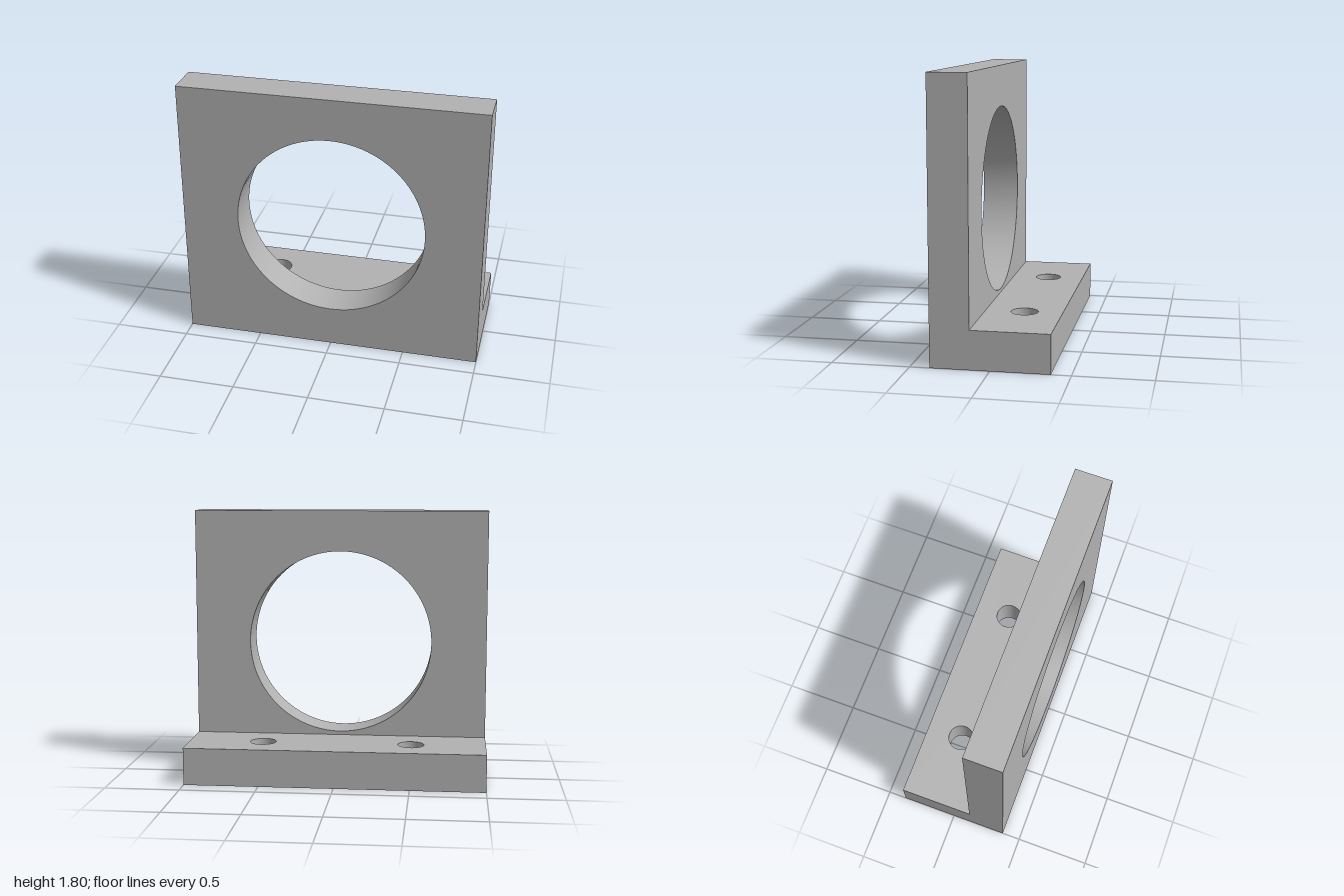
import * as THREE from 'three';
import { toCreasedNormals } from 'three/addons/utils/BufferGeometryUtils.js';

const WIDTH = 2, HEIGHT = 1.8, THICK = 0.25, HALF_DEPTH = 0.375;

// Rectangular plate with round through-holes, extruded by THICK along +z
function drilledPlate(y0, y1, holes) {
  const w = WIDTH / 2;
  const shape = new THREE.Shape([
    new THREE.Vector2(-w, y0), new THREE.Vector2(w, y0),
    new THREE.Vector2(w, y1), new THREE.Vector2(-w, y1),
  ]);
  for (const [x, y, r] of holes) {
    shape.holes.push(new THREE.Path().absarc(x, y, r, 0, Math.PI * 2, true));
  }
  const geometry = new THREE.ExtrudeGeometry(shape, {
    depth: THICK, bevelEnabled: false, curveSegments: 48,
  });
  return toCreasedNormals(geometry, Math.PI / 6);
}

export function createModel() {
  const group = new THREE.Group();
  group.name = 'angleBracket';
  const grey = new THREE.MeshStandardMaterial({ color: 0xb2b2b2 });
  grey.name = 'grey metal';

  // Upright plate with the large bore
  const upright = new THREE.Mesh(drilledPlate(0, HEIGHT, [[0, 0.9, 0.625]]), grey);
  upright.name = 'uprightPlate';
  upright.position.z = HALF_DEPTH - THICK;

  // Foot behind the plate with two bolt holes, laid flat
  const bolts = [-0.5, 0.5].map((x) => [x, 0.128, 0.0875]);
  const footGeometry = drilledPlate(THICK - HALF_DEPTH, HALF_DEPTH, bolts);
  footGeometry.rotateX(-Math.PI / 2);
  const foot = new THREE.Mesh(footGeometry, grey);
  foot.name = 'footPlate';

  group.add(upright, foot);
  return group;
}
